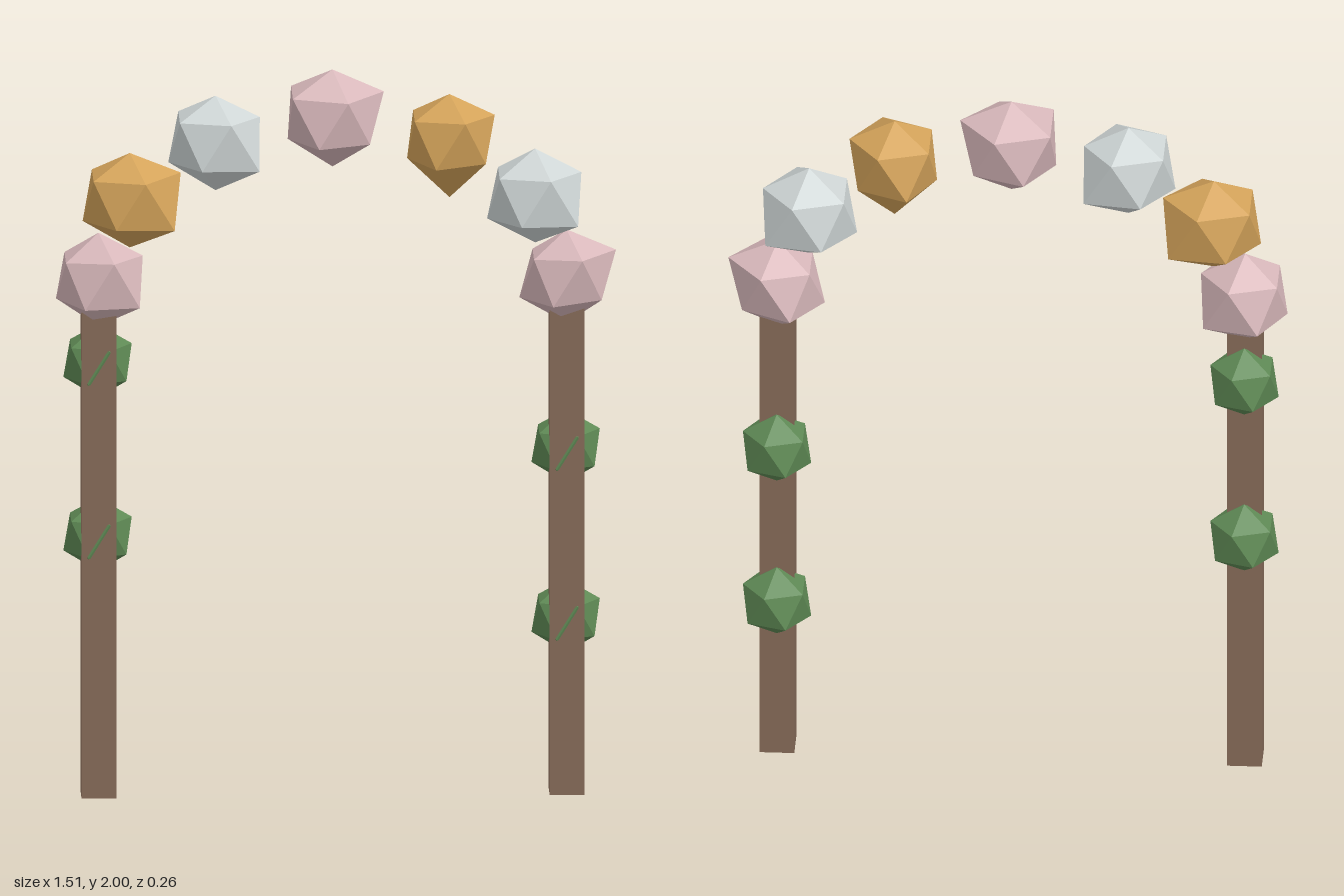
import * as THREE from 'three';
import { ConvexGeometry } from 'three/addons/geometries/ConvexGeometry.js';

const mat = (name, color) => {
  const m = new THREE.MeshStandardMaterial({ color, flatShading: true });
  m.name = name;
  return m;
};

// Upright icosahedron with slightly irregular corners.
// f: factors for top, right, lower right, bottom, lower left, upper left; front: front edge factor
function lump(r, f, front = 1) {
  const [top, right, lowRight, bottom, lowLeft, upLeft] = f;
  const pts = [];
  const add = (x, y, z, k) => pts.push(new THREE.Vector3(x, y, z).multiplyScalar(r * k));
  add(0, 1, 0, top);
  add(0, -1, 0, bottom);
  add(0.894, 0.447, 0, right);
  add(-0.894, -0.447, 0, lowLeft);
  for (const s of [1, -1]) {
    add(0.724, -0.447, 0.526 * s, lowRight);
    add(-0.724, 0.447, 0.526 * s, upLeft);
    for (const h of [1, -1]) {
      const k = s > 0 ? front : 1;
      pts.push(new THREE.Vector3(0.276 * h, 0.447 * h, 0.851 * s * k).multiplyScalar(r));
    }
  }
  return new ConvexGeometry(pts);
}

export function createModel() {
  const group = new THREE.Group();
  const wood = mat('brown wood', 0x856a58);
  const green = mat('leaf green', 0x5f8a55);
  const pink = mat('dusty pink', 0xd8b8bb);
  const silver = mat('pale silver', 0xcfd6d6);
  const gold = mat('warm gold', 0xd4a35a);

  const put = (name, geometry, material, x, y, z) => {
    const mesh = new THREE.Mesh(geometry, material);
    mesh.name = name;
    mesh.position.set(x, y, z);
    group.add(mesh);
  };

  const cx = -0.014, span = 0.63, spring = 1.43, rise = 0.44;

  // Two square posts
  for (const [name, s] of [['leftPost', 1], ['rightPost', -1]]) {
    put(name, new THREE.BoxGeometry(0.094, 1.42, 0.094), wood, cx + s * span, 0.71, 0.01);
  }

  // Seven balloons along a half ellipse, from the left post to the right
  const balloons = [
    [pink, [0.87, 1.05, 0.9, 0.95, 1.0, 0.87]],
    [silver, [0.9, 0.98, 1.1, 0.93, 1.02, 0.95]],
    [gold, [0.84, 0.96, 0.93, 1.17, 0.9, 0.93]],
    [pink, [0.92, 1.09, 0.96, 0.97, 0.95, 1.06]],
    [silver, [0.84, 0.94, 1.13, 1.0, 1.0, 0.95]],
    [gold, [0.87, 1.08, 1.15, 0.97, 1.0, 0.97]],
    [pink, [0.87, 0.94, 1.06, 0.95, 0.9, 0.87]],
  ];
  balloons.forEach(([material, f], i) => {
    const a = (i / 6) * Math.PI;
    put(`balloon${i + 1}`, lump(0.142, f), material,
      cx + span * Math.cos(a), spring + rise * Math.sin(a), 0.006);
  });

  // Leaf clumps behind the posts, their front edges just breaking through
  const leaves = [[1, 0.945], [1, 0.475], [-1, 1.19], [-1, 0.71]];
  leaves.forEach(([s, y], i) => {
    put(`leafClump${i + 1}`, lump(0.104, [0.95, 0.98, 1, 1, 1, 0.97], 1.16), green,
      cx + s * span, y, -0.043);
  });

  return group;
}
